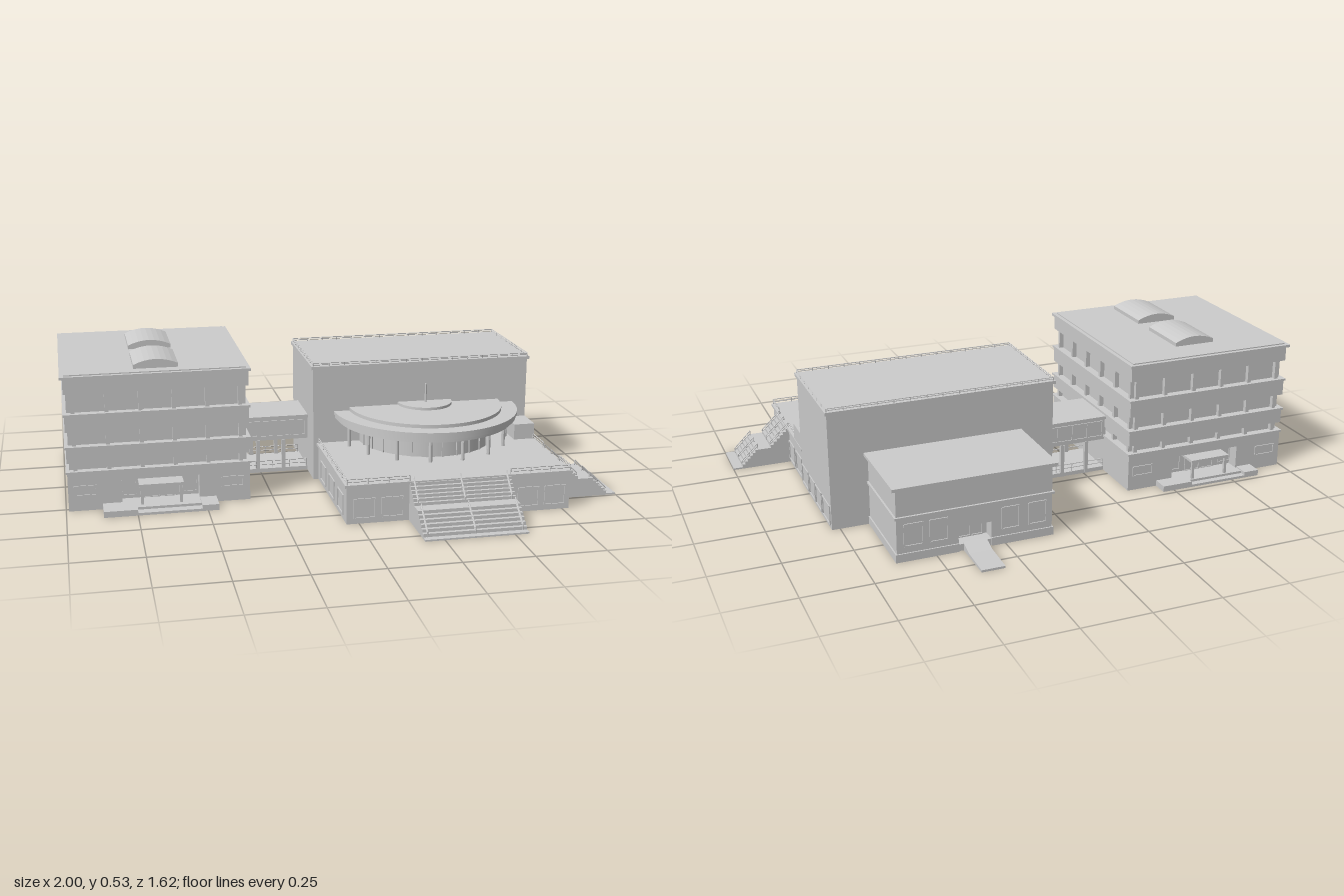
import * as THREE from 'three';

const grey = new THREE.MeshStandardMaterial({ color: 0xcccccc, flatShading: true });
const smooth = new THREE.MeshStandardMaterial({ color: 0xcccccc, side: THREE.DoubleSide });

function add(parent, name, geometry, material = grey) {
  const mesh = new THREE.Mesh(geometry, material);
  mesh.name = name;
  parent.add(mesh);
  return mesh;
}

// Box given by its limits on each axis
function box(parent, name, x0, x1, y0, y1, z0, z1) {
  const mesh = add(parent, name, new THREE.BoxGeometry(x1 - x0, y1 - y0, z1 - z0));
  mesh.position.set((x0 + x1) / 2, (y0 + y1) / 2, (z0 + z1) / 2);
  return mesh;
}

function group(parent, name) {
  const g = new THREE.Group();
  g.name = name;
  parent.add(g);
  return g;
}

// Framed window on a wall; turn rotates it to face the wall's direction
function windowFrame(parent, x, y, z, w, h, turn = 0, panes = 1) {
  const g = group(parent, 'window');
  const t = 0.005, d = 0.004;
  for (const s of [-1, 1]) box(g, 'frameRail', -w / 2, w / 2, s * h / 2 - t / 2, s * h / 2 + t / 2, -d, d);
  for (let i = 0; i <= panes; i++) {
    const px = -w / 2 + (w * i) / panes;
    box(g, 'frameBar', px - t / 2, px + t / 2, -h / 2, h / 2, -d, d);
  }
  g.position.set(x, y, z);
  g.rotation.y = turn;
}

// Thin bar between two points
function bar(parent, a, b, r = 0.002) {
  const from = new THREE.Vector3(...a), to = new THREE.Vector3(...b);
  const dir = to.clone().sub(from);
  const mesh = add(parent, 'railBar', new THREE.CylinderGeometry(r, r, dir.length(), 5));
  mesh.position.copy(from).add(to).multiplyScalar(0.5);
  mesh.quaternion.setFromUnitVectors(new THREE.Vector3(0, 1, 0), dir.normalize());
}

// Railing with posts along a path of floor points
function railing(parent, path, h = 0.02, gap = 0.08) {
  const g = group(parent, 'railing');
  for (let i = 1; i < path.length; i++) {
    const a = path[i - 1], b = path[i];
    for (const k of [0.5, 1]) bar(g, [a[0], a[1] + h * k, a[2]], [b[0], b[1] + h * k, b[2]]);
    const n = Math.max(1, Math.round(Math.hypot(b[0] - a[0], b[1] - a[1], b[2] - a[2]) / gap));
    for (let j = 0; j <= n; j++) {
      const p = a.map((v, k) => v + ((b[k] - v) * j) / n);
      bar(g, p, [p[0], p[1] + h, p[2]]);
    }
  }
}

// Two flights with a landing, descending along +x from the origin, width along +z
function staircase(parent, name, width, flights, foot) {
  const g = group(parent, name);
  const shape = new THREE.Shape();
  shape.moveTo(0, 0);
  shape.lineTo(0, flights[0][1]);
  for (const [d0, h0, d1, h1] of flights) {
    const n = 6;
    shape.lineTo(d0, h0);
    for (let i = 1; i <= n; i++) {
      const d = d0 + ((d1 - d0) * i) / n;
      shape.lineTo(d, h0 + ((h1 - h0) * (i - 1)) / n);
      shape.lineTo(d, h0 + ((h1 - h0) * i) / n);
    }
  }
  shape.lineTo(foot, 0.006);
  shape.lineTo(foot, 0);
  shape.closePath();
  add(g, 'steps', new THREE.ExtrudeGeometry(shape, { depth: width, bevelEnabled: false }));
  for (const z of [0.015, width / 2, width - 0.015]) {
    for (const [d0, h0, d1, h1] of flights) railing(g, [[d0, h0, z], [d1, h1, z]], 0.02, 0.05);
  }
  return g;
}

function officeBlock(root) {
  const g = group(root, 'officeBlock');
  const X0 = -0.99, X1 = -0.335, Z0 = -0.42, Z1 = 0.27;
  // Ground floor with an entrance recess front and back
  box(g, 'groundFloorLeft', X0, -0.8, 0, 0.145, Z0, Z1);
  box(g, 'groundFloorRight', -0.52, X1, 0, 0.145, Z0, Z1);
  box(g, 'groundFloorMiddle', -0.8, -0.52, 0, 0.145, Z0 + 0.05, Z1 - 0.05);
  for (const [a, b] of [[Z0, Z0 + 0.05], [Z1 - 0.05, Z1]]) {
    box(g, 'entranceLintel', -0.8, -0.52, 0.107, 0.145, a, b);
    box(g, 'entranceFloor', -0.8, -0.52, 0, 0.018, a, b);
  }
  // Recessed glazing with solid bands and thin ledges
  const r = 0.025;
  box(g, 'glazedCore', X0 + r, X1 - r, 0.145, 0.45, Z0 + r, Z1 - r);
  for (const [a, b] of [[0.18, 0.238], [0.294, 0.36], [0.433, 0.49]]) box(g, 'wallBand', X0, X1, a, b, Z0, Z1);
  for (const y of [0.14, 0.232, 0.352]) box(g, 'ledge', X0 - 0.005, X1 + 0.005, y, y + 0.008, Z0 - 0.005, Z1 + 0.005);
  for (const [a, b] of [[0.145, 0.18], [0.238, 0.294], [0.36, 0.433]]) {
    for (let i = 0; i <= 5; i++) {
      const x = X0 + 0.03 + ((X1 - X0 - 0.06) * i) / 5, z = Z0 + 0.03 + ((Z1 - Z0 - 0.06) * i) / 5;
      for (const s of [Z0 + 0.018, Z1 - 0.018]) box(g, 'windowPier', x - 0.007, x + 0.007, a, b, s - 0.01, s + 0.01);
      for (const s of [X0 + 0.018, X1 - 0.018]) box(g, 'windowPier', s - 0.01, s + 0.01, a, b, z - 0.007, z + 0.007);
    }
  }
  box(g, 'roofSlab', -1, -0.327, 0.488, 0.498, -0.43, 0.28);
  box(g, 'roofDeck', -0.985, -0.342, 0.498, 0.502, -0.415, 0.265);
  // Curved skylights
  for (const z of [-0.3, 0.005]) {
    const s = new THREE.Shape();
    s.moveTo(-0.08, 0);
    s.lineTo(0.08, 0);
    s.lineTo(0.08, 0.018);
    s.quadraticCurveTo(0, 0.055, -0.08, 0.018);
    const m = add(g, 'skylight', new THREE.ExtrudeGeometry(s, { depth: 0.215, bevelEnabled: false, curveSegments: 8 }));
    m.position.set(-0.66, 0.498, z);
  }
  // Entrances: platform, steps, ramp, canopy and doors
  for (const [s, wall, depth] of [[1, Z1, 0.09], [-1, Z0, 0.06]]) {
    const e = group(g, s > 0 ? 'frontEntrance' : 'backEntrance');
    box(e, 'platform', -0.8, -0.52, 0, 0.018, 0, depth * 0.6);
    box(e, 'lowerStep', -0.75, -0.52, 0, 0.009, 0, depth);
    box(e, 'sidePlinth', -0.87, -0.75, 0, 0.022, 0, depth);
    box(e, 'sidePlinth', -0.52, -0.46, 0, 0.022, 0, depth);
    box(e, 'canopy', -0.74, -0.58, 0.085, 0.095, -0.05, 0.035);
    for (const x of [-0.73, -0.59]) box(e, 'canopyPost', x - 0.005, x + 0.005, 0.018, 0.085, 0.02, 0.03);
    windowFrame(e, -0.66, 0.05, -0.05, 0.12, 0.064, 0, 2);
    for (const x of [-0.77, -0.55]) windowFrame(e, x, 0.06, -0.05, 0.05, 0.06);
    for (const x of [-0.93, -0.4]) windowFrame(e, x, 0.075, 0, 0.08, 0.035);
    e.position.z = wall;
    if (s < 0) { e.rotation.y = Math.PI; e.position.x = -1.325; }
  }
}

function bridge(root) {
  const g = group(root, 'linkBridge');
  box(g, 'bridgeBody', -0.34, -0.06, 0.13, 0.215, -0.21, -0.02);
  box(g, 'bridgeRoof', -0.34, -0.06, 0.215, 0.227, -0.22, -0.01);
  box(g, 'walkway', -0.34, -0.06, 0, 0.015, -0.21, -0.02);
  for (const z of [-0.205, -0.025]) {
    railing(g, [[-0.335, 0.015, z], [-0.07, 0.015, z]], 0.03, 0.07);
    for (const x of [-0.26, -0.16]) box(g, 'bridgeColumn', x - 0.007, x + 0.007, 0, 0.13, z - 0.007, z + 0.007);
  }
  for (const z of [-0.21, -0.02]) windowFrame(g, -0.2, 0.175, z, 0.25, 0.06, 0, 4);
}

function hall(root) {
  const g = group(root, 'mainHall');
  box(g, 'hallBody', -0.065, 0.78, 0, 0.44, -0.325, 0.1);
  box(g, 'roofEdge', -0.072, 0.787, 0.434, 0.446, -0.332, 0.107);
  // Roof railing
  railing(g, [[-0.065, 0.446, -0.325], [0.78, 0.446, -0.325], [0.78, 0.446, 0.1], [-0.065, 0.446, 0.1], [-0.065, 0.446, -0.325]], 0.012, 0.06);
  for (const [a, b] of [[0.09, -0.003], [-0.02, -0.1], [-0.113, -0.195], [-0.212, -0.31]])
    windowFrame(g, 0.78, 0.05, (a + b) / 2, a - b, 0.07, Math.PI / 2);

  // Rear wing with a door recess and ramp
  const w = group(root, 'rearWing');
  box(w, 'upperStorey', 0.075, 0.64, 0.09, 0.265, -0.64, -0.32);
  box(w, 'lowerStoreyLeft', 0.42, 0.64, 0, 0.09, -0.64, -0.32);
  box(w, 'lowerStoreyRight', 0.075, 0.3, 0, 0.09, -0.64, -0.32);
  box(w, 'doorWall', 0.3, 0.42, 0, 0.09, -0.59, -0.32);
  box(w, 'threshold', 0.3, 0.42, 0, 0.025, -0.64, -0.59);
  box(w, 'roofSlab', 0.06, 0.655, 0.265, 0.276, -0.655, -0.325);
  box(w, 'ledge', 0.068, 0.647, 0.158, 0.166, -0.648, -0.325);
  box(w, 'plinth', 0.07, 0.3, 0, 0.03, -0.645, -0.325);
  box(w, 'plinth', 0.42, 0.645, 0, 0.03, -0.645, -0.325);
  windowFrame(w, 0.36, 0.057, -0.59, 0.09, 0.06, 0, 2);
  for (const x of [0.13, 0.23, 0.49, 0.58]) windowFrame(w, x, 0.095, -0.64, 0.065, 0.08);
  const ramp = new THREE.Shape([[0.63, 0], [0.63, 0.028], [0.66, 0.022], [0.69, 0.012], [0.81, 0.008], [0.81, 0]].map((p) => new THREE.Vector2(...p)));
  const m = add(w, 'ramp', new THREE.ExtrudeGeometry(ramp, { depth: 0.085, bevelEnabled: false }));
  m.rotation.y = Math.PI / 2;
  m.position.x = 0.317;
}

function podium(root) {
  const g = group(root, 'podium');
  box(g, 'podiumBody', -0.045, 0.775, 0, 0.135, 0.09, 0.595);
  box(g, 'terraceSlab', -0.052, 0.782, 0.135, 0.145, 0.09, 0.602);
  box(g, 'terraceKiosk', 0.7, 0.78, 0.145, 0.205, 0.09, 0.21);
  const y = 0.145;
  railing(g, [[0.18, y, 0.595], [-0.045, y, 0.595], [-0.045, y, 0.11]]);
  railing(g, [[0.55, y, 0.595], [0.775, y, 0.595], [0.775, y, 0.49]]);
  railing(g, [[0.775, y, 0.325], [0.775, y, 0.215]]);
  for (const x of [0.02, 0.12, 0.62, 0.72]) windowFrame(g, x, 0.055, 0.595, 0.075, 0.07);
  for (const [z, w] of [[0.54, 0.062], [0.278, 0.085], [0.165, 0.09]]) windowFrame(g, 0.775, 0.053, z, w, 0.075, Math.PI / 2);
  for (const z of [0.2, 0.35, 0.5]) windowFrame(g, -0.045, 0.055, z, 0.09, 0.07, -Math.PI / 2);
  // Front and side staircases
  const front = staircase(g, 'frontStairs', 0.37, [[0, 0.14, 0.065, 0.075], [0.1, 0.075, 0.185, 0.006]], 0.21);
  front.rotation.y = -Math.PI / 2;
  front.position.set(0.55, 0, 0.595);
  const side = staircase(g, 'sideStairs', 0.17, [[0, 0.14, 0.075, 0.07], [0.125, 0.07, 0.19, 0.006]], 0.225);
  side.position.set(0.775, 0, 0.322);
}

function rotunda(root) {
  const g = group(root, 'rotunda');
  g.position.set(0.37, 0, 0.1);
  // Half-round solid of stacked rims, each [radius, bottom, top]
  const half = (name, r, y0, y1) => {
    const pts = [[0, y0], [r, y0], [r, y0], [r, y1], [r, y1], [0, y1]].map((p) => new THREE.Vector2(...p));
    const parts = [[0, 1], [2, 3], [4, 5]];
    for (const [a, b] of parts) add(g, name, new THREE.LatheGeometry([pts[a], pts[b]], 40, -Math.PI / 2, Math.PI), smooth);
  };
  half('drum', 0.255, 0.145, 0.23);
  half('canopySoffit', 0.335, 0.225, 0.24);
  half('canopyRim', 0.35, 0.24, 0.255);
  half('canopyTop', 0.355, 0.255, 0.267);
  half('raisedRoof', 0.295, 0.267, 0.28);
  half('roofCap', 0.105, 0.28, 0.29);
  const mast = add(g, 'mast', new THREE.CylinderGeometry(0.004, 0.004, 0.075, 8));
  mast.position.set(0, 0.325, 0.02);
  // Columns under the canopy and glazing bars on the drum
  for (let i = 0; i < 8; i++) {
    const a = -Math.PI / 2 + (Math.PI * (i + 0.5)) / 8;
    const c = add(g, 'column', new THREE.CylinderGeometry(0.007, 0.007, 0.085, 10));
    c.position.set(0.315 * Math.sin(a), 0.187, 0.315 * Math.cos(a));
  }
  for (let i = 0; i <= 14; i++) {
    const a = -Math.PI / 2 + (Math.PI * i) / 14;
    const b = add(g, 'glazingBar', new THREE.BoxGeometry(0.005, 0.08, 0.008));
    b.position.set(0.256 * Math.sin(a), 0.185, 0.256 * Math.cos(a));
    b.rotation.y = a;
  }
}

export function createModel() {
  const root = new THREE.Group();
  root.name = 'civicCentre';
  officeBlock(root);
  bridge(root);
  hall(root);
  podium(root);
  rotunda(root);
  return root;
}
